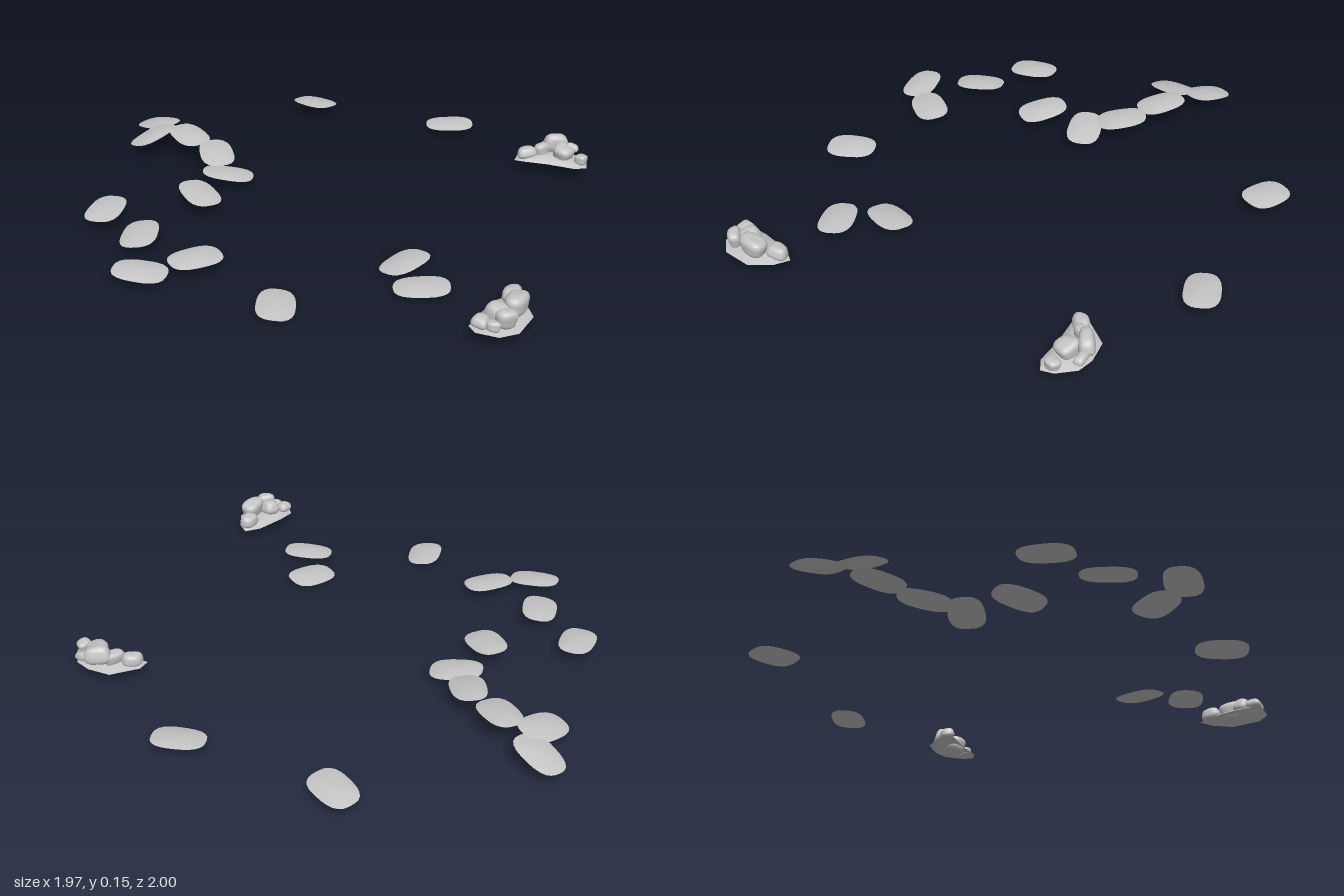
import * as THREE from 'three';
import { mergeGeometries, mergeVertices } from 'three/addons/utils/BufferGeometryUtils.js';

const stone = new THREE.MeshStandardMaterial({ color: 0xc4c4c4, side: THREE.DoubleSide });
stone.name = 'greyStone';

// x, z, y of centre, yaw in degrees (from +x towards +z), slope along x, slope along z
const SLABS = [
  [-0.25, -0.91, 0.060, 35, 0.00, 0.10],
  [0.38, -0.79, 0.040, -8, 0.01, -0.06],
  [-0.89, -0.53, 0.078, 38, 0.20, 0.08],
  [-0.875, -0.38, 0.085, -58, 0.25, -0.04],
  [-0.71, -0.365, 0.102, 48, -0.04, -0.08],
  [-0.56, -0.23, 0.088, 68, -0.08, -0.12],
  [-0.48, -0.09, 0.062, -5, -0.13, 0.03],
  [-0.55, 0.12, 0.070, 52, -0.13, -0.05],
  [-0.89, 0.27, 0.050, 95, 0.02, -0.06],
  [-0.70, 0.46, 0.053, 85, 0.09, -0.05],
  [-0.63, 0.715, 0.039, 3, -0.06, -0.08],
  [-0.45, 0.61, 0.050, -38, -0.06, -0.05],
  [-0.11, 0.83, 0.011, 84, -0.11, -0.02],
  [0.305, 0.48, 0.021, -55, 0.12, 0.00],
  [0.385, 0.665, 0.028, -8, 0.03, -0.06],
];

// One face of a slab: a disc pushed out to a rounded rectangle and domed
function slabFace(up, rise) {
  const g = new THREE.RingGeometry(0.001, 1, 28, 4);
  g.rotateX(up ? -Math.PI / 2 : Math.PI / 2);
  const p = g.attributes.position;
  for (let i = 0; i < p.count; i++) {
    const x = p.getX(i), z = p.getZ(i), r = Math.hypot(x, z), a = Math.atan2(z, x);
    const k = Math.pow(Math.abs(Math.cos(a)) ** 2.8 + Math.abs(Math.sin(a)) ** 2.8, -1 / 2.8);
    p.setXYZ(i, x * k * 0.103, rise * (1 - r * r), z * k * 0.07 * (1 + 0.05 * x));
  }
  return g;
}

function slab([x, z, y, deg, sx, sz]) {
  const g = mergeGeometries([slabFace(true, 0.011), slabFace(false, 0.004)]);
  g.rotateY(-deg * Math.PI / 180);
  const p = g.attributes.position;
  for (let i = 0; i < p.count; i++) p.setY(i, p.getY(i) + sx * p.getX(i) + sz * p.getZ(i));
  g.computeVertexNormals();
  const m = new THREE.Mesh(g, stone);
  m.name = 'steppingStone';
  m.position.set(x, y, z);
  return m;
}

// Lumpy boulder: a sphere squared off a little and rippled
function boulder([x, y, z, rx, ry, rz, deg], seed) {
  let g = new THREE.IcosahedronGeometry(1, 5);
  g.deleteAttribute('normal');
  g.deleteAttribute('uv');
  g = mergeVertices(g, 1e-4);
  const p = g.attributes.position, v = new THREE.Vector3();
  for (let i = 0; i < p.count; i++) {
    v.fromBufferAttribute(p, i);
    const k = Math.pow(Math.abs(v.x) ** 3 + Math.abs(v.y) ** 3 + Math.abs(v.z) ** 3, -1 / 3);
    const bump = 1 + 0.07 * Math.sin(3 * v.x + seed) * Math.cos(2.5 * v.z + seed * 2) + 0.05 * Math.sin(4 * v.y + seed * 3);
    v.multiplyScalar(Math.min(k, 1.2) * bump * 0.93);
    p.setXYZ(i, v.x * rx, v.y * ry, v.z * rz);
  }
  g.computeVertexNormals();
  const m = new THREE.Mesh(g, stone);
  m.name = 'boulder';
  m.position.set(x, y, z);
  m.rotation.set(0.15 * Math.sin(seed * 5), -deg * Math.PI / 180, 0.15 * Math.cos(seed * 7));
  return m;
}

// Open, gently domed rubble bed: rings shrinking from the outline (x, z) to its centre
function bed(outline, y) {
  const rings = 5, n = outline.length, pos = [], index = [];
  const cx = outline.reduce((s, q) => s + q[0], 0) / n;
  const cz = outline.reduce((s, q) => s + q[1], 0) / n;
  for (let r = 0; r <= rings; r++) {
    const t = 1 - r / rings;
    outline.forEach(([x, z]) => pos.push(cx + (x - cx) * t, y + 0.024 * (1 - t * t), cz + (z - cz) * t));
  }
  for (let r = 0; r < rings; r++) {
    for (let i = 0; i < n; i++) {
      const a = r * n + i, b = r * n + (i + 1) % n;
      index.push(a, b, b + n, a, b + n, a + n);
    }
  }
  const g = new THREE.BufferGeometry();
  g.setAttribute('position', new THREE.Float32BufferAttribute(pos, 3));
  g.setIndex(index);
  g.computeVertexNormals();
  const m = new THREE.Mesh(g, stone);
  m.name = 'rubbleBed';
  return m;
}

function rockPile(name, outline, y, boulders) {
  const pile = new THREE.Group();
  pile.name = name;
  pile.add(bed(outline, y), ...boulders.map((b, i) => boulder(b, i + 1)));
  return pile;
}

export function createModel() {
  const model = new THREE.Group();
  model.name = 'steppingStonesAndRocks';

  const path = new THREE.Group();
  path.name = 'steppingStones';
  SLABS.forEach((s) => path.add(slab(s)));
  model.add(path);

  // Outlines run anticlockwise seen from above; boulders: x, y, z, half sizes, yaw in degrees
  model.add(rockPile('backRockPile', [
    [0.72, -0.39], [0.82, -0.375], [0.93, -0.345], [0.98, -0.36], [0.98, -0.41],
    [0.94, -0.485], [0.88, -0.515], [0.785, -0.525], [0.69, -0.45], [0.68, -0.40],
  ], 0.057, [
    [0.73, 0.083, -0.43, 0.042, 0.026, 0.032, -20],
    [0.795, 0.092, -0.455, 0.042, 0.03, 0.024, -50],
    [0.85, 0.111, -0.485, 0.056, 0.041, 0.032, -15],
    [0.88, 0.092, -0.425, 0.045, 0.036, 0.042, 30],
    [0.915, 0.093, -0.485, 0.034, 0.018, 0.02, 15],
    [0.955, 0.08, -0.395, 0.026, 0.022, 0.03, 30],
  ]));
  model.add(rockPile('frontRockPile', [
    [0.65, 0.755], [0.59, 0.87], [0.565, 0.94], [0.59, 0.98], [0.67, 1.0],
    [0.735, 0.965], [0.78, 0.85], [0.75, 0.76], [0.705, 0.71],
  ], 0.05, [
    [0.705, 0.084, 0.76, 0.035, 0.028, 0.043, 10],
    [0.72, 0.1, 0.85, 0.038, 0.041, 0.058, 15],
    [0.66, 0.088, 0.9, 0.046, 0.034, 0.04, 35],
    [0.69, 0.093, 0.945, 0.04, 0.036, 0.026, -30],
    [0.605, 0.076, 0.945, 0.032, 0.023, 0.034, 20],
    [0.648, 0.073, 0.965, 0.026, 0.02, 0.022, 0],
  ]));
  return model;
}
